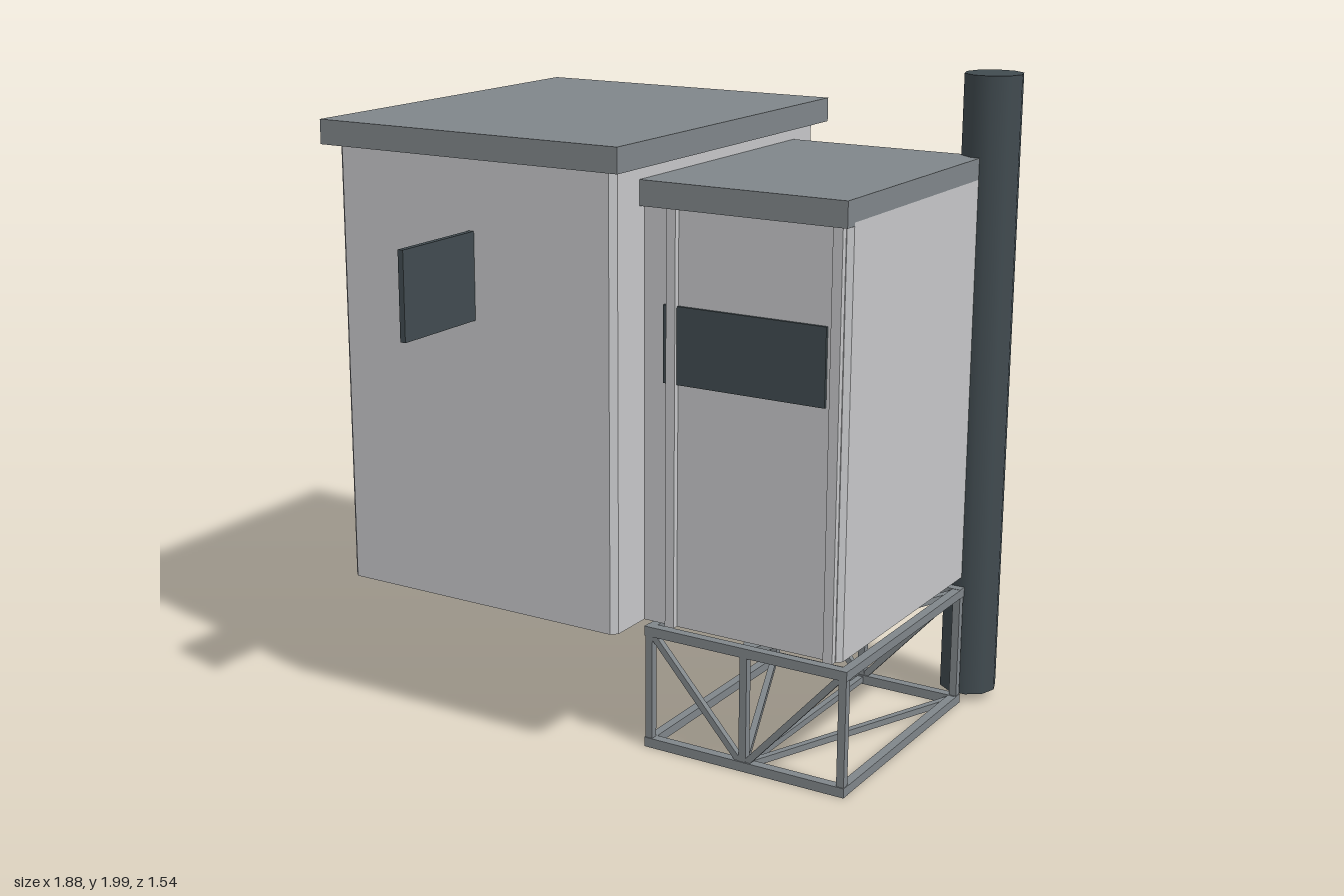
import * as THREE from 'three';

const mat = (name, color) => {
  const m = new THREE.MeshStandardMaterial({ color });
  m.name = name;
  return m;
};

export function createModel() {
  const wall = mat('light grey wall', 0xc6c7c9);
  const trim = mat('mid grey metal', 0x80868a);
  const dark = mat('dark slate', 0x414b50);
  const model = new THREE.Group();
  model.name = 'building';

  const add = (name, geo, material, parent = model) => {
    const mesh = new THREE.Mesh(geo, material);
    mesh.name = name;
    parent.add(mesh);
    return mesh;
  };
  // box given by its limits on each axis
  const box = (name, material, [x0, x1], [y0, y1], [z0, z1], parent) => {
    const g = new THREE.BoxGeometry(x1 - x0, y1 - y0, z1 - z0);
    g.translate((x0 + x1) / 2, (y0 + y1) / 2, (z0 + z1) / 2);
    return add(name, g, material, parent);
  };
  // upright block with chamfered vertical corners
  const chamferedBlock = (name, material, [x0, x1], [y0, y1], [z0, z1], c) => {
    const pts = [
      [x0 + c, -z1], [x1 - c, -z1], [x1, -z1 + c], [x1, -z0 - c],
      [x1 - c, -z0], [x0 + c, -z0], [x0, -z0 - c], [x0, -z1 + c],
    ].map(([x, y]) => new THREE.Vector2(x, y));
    const g = new THREE.ExtrudeGeometry(new THREE.Shape(pts), { depth: y1 - y0, bevelEnabled: false });
    g.rotateX(-Math.PI / 2);
    g.translate(0, y0, 0);
    return add(name, g, material);
  };

  // main block and roof slab
  chamferedBlock('mainWalls', wall, [-0.785, 0.197], [0.43, 1.8], [-0.74, 0.44], 0.018);
  box('mainRoof', trim, [-0.82, 0.23], [1.795, 1.87], [-0.775, 0.475]);

  // annex and roof slab
  const mid = -0.15;
  chamferedBlock('annexWalls', wall, [0.17, 0.85], [0.43, 1.69], [mid - 0.43, mid + 0.43], 0.015);
  box('annexRoof', trim, [0.19, 0.85], [1.68, 1.755], [mid - 0.457, mid + 0.457]);

  // annex window bands and wall posts, front and back
  for (const s of [1, -1]) {
    const span = (a, b) => [mid + s * a, mid + s * b].sort((p, q) => p - q);
    box('annexWindow', dark, [0.265, 0.785], [1.17, 1.4], span(0.43, 0.439));
    for (const x of [0.28, 0.803]) {
      box('annexPost', wall, [x, x + 0.03], [0.43, 1.69], span(0.42, 0.449));
    }
  }

  // side cabinet with slightly bevelled outer edges
  const b = 0.01;
  const cabinet = new THREE.BoxGeometry(0.165, 1.145, 0.74);
  const p = cabinet.attributes.position;
  for (let i = 0; i < p.count; i++) {
    if (p.getX(i) < 0) {
      p.setY(i, p.getY(i) - Math.sign(p.getY(i)) * b);
      p.setZ(i, p.getZ(i) - Math.sign(p.getZ(i)) * b);
    }
  }
  cabinet.translate(-0.8625, 1.0525, -0.15);
  cabinet.computeVertexNormals();
  add('sideCabinet', cabinet, trim);

  // projecting sign board
  box('signBoard', dark, [-0.304, -0.286], [1.315, 1.58], [0.43, 0.77]);

  // chimney pipe
  const pipe = add('chimney', new THREE.CylinderGeometry(0.09, 0.09, 1.96, 10), dark);
  pipe.rotation.y = Math.PI / 2;
  pipe.position.set(0.85, 1.02, -0.643);

  // truss frame below the annex
  const frame = new THREE.Group();
  frame.name = 'supportFrame';
  model.add(frame);
  const bar = (name, a, c, w) => {
    const from = new THREE.Vector3(...a), to = new THREE.Vector3(...c);
    const mesh = add(name, new THREE.BoxGeometry(w, w, from.distanceTo(to)), trim, frame);
    mesh.position.copy(from).add(to).multiplyScalar(0.5);
    mesh.lookAt(to);
  };
  const x0 = 0.2, x1 = 0.848, xm = 0.524, yb = 0.025, yt = 0.385, zf = 0.247, zb = -0.54;
  for (const z of [zf, zb]) {
    for (const y of [yb, yt]) bar('longBeam', [x0 - 0.014, y, z], [x1 + 0.014, y, z], 0.03);
    for (const x of [x0, xm, x1]) bar('framePost', [x, yb, z], [x, yt, z], 0.024);
    for (const x of [x0, x1]) bar('faceBrace', [x, yt, z], [xm, yb, z], 0.02);
  }
  for (const y of [yb, yt]) {
    for (const x of [x0, x1]) {
      bar('crossBeam', [x, y, zb], [x, y, zf], 0.028);
      bar('floorBrace', [xm, y, zf], [x, y, zb], 0.02);
    }
    bar('middleBeam', [xm, y, zb], [xm, y, zf], 0.02);
  }
  return model;
}
